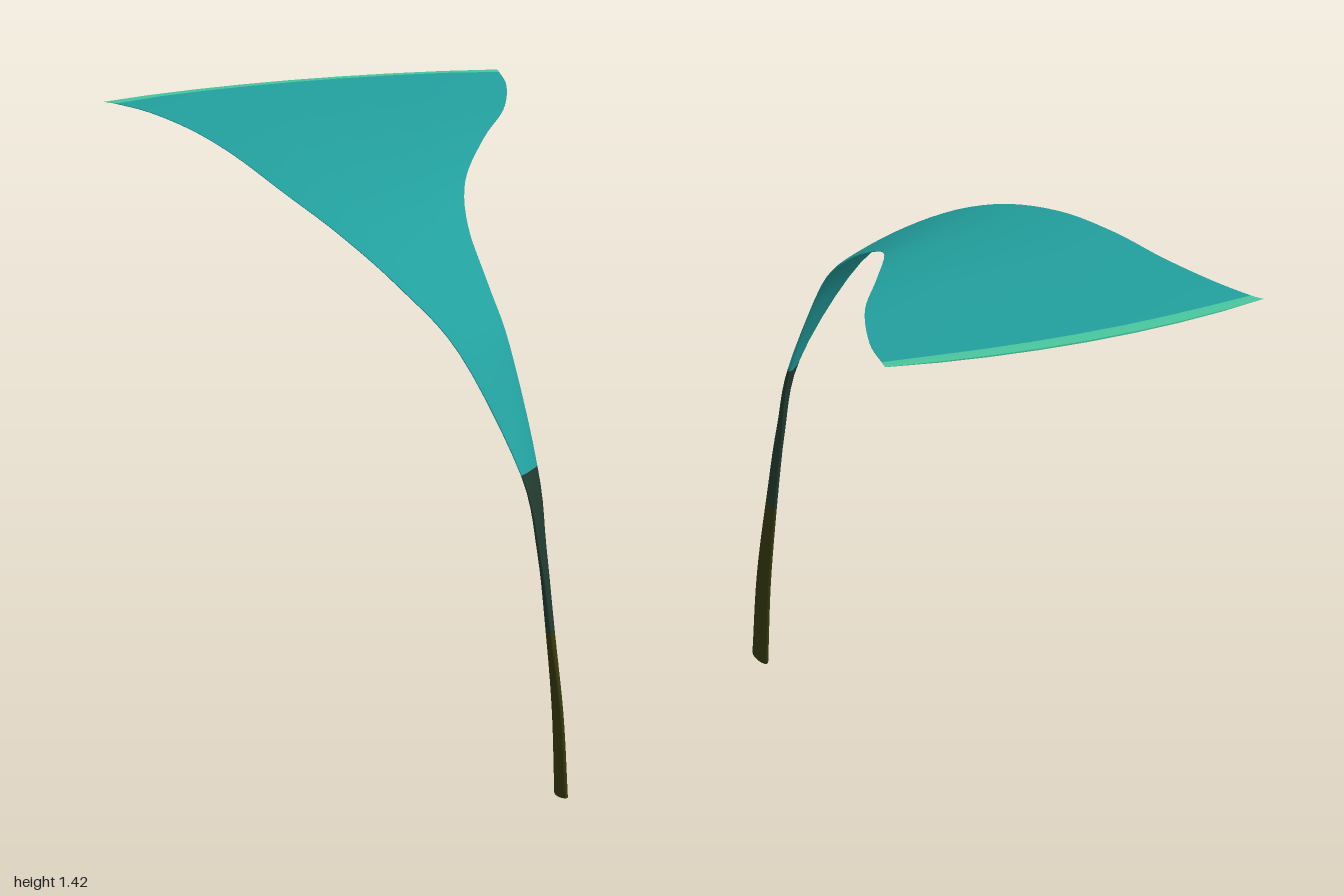
import * as THREE from 'three';
import { toCreasedNormals } from 'three/addons/utils/BufferGeometryUtils.js';

// Stations along the blade: outer edge x,y,z | inner edge x,y,z | thickness | forward bow
const STATIONS = [
  [-0.205, 0, 1.0, -0.182, 0, 0.9, 0.024, 0],
  [-0.215, 0.2, 0.995, -0.183, 0.2, 0.89, 0.023, 0],
  [-0.235, 0.4, 0.98, -0.187, 0.4, 0.87, 0.022, 0],
  [-0.25, 0.59, 0.95, -0.185, 0.59, 0.835, 0.02, 0],
  [-0.275, 0.775, 0.9, -0.18, 0.775, 0.785, 0.018, 0],
  [-0.36, 1.05, 0.735, -0.175, 1.04, 0.62, 0.016, 0],
  [-0.435, 1.19, 0.55, -0.152, 1.16, 0.45, 0.015, 0],
  [-0.485, 1.285, 0.32, -0.097, 1.26, 0.22, 0.014, 0],
  [-0.505, 1.345, 0.05, 0, 1.33, 0, 0.013, 0],
  [-0.49, 1.383, -0.25, 0.175, 1.375, -0.27, 0.012, 0.01],
  [-0.473, 1.4, -0.52, 0.335, 1.395, -0.5, 0.012, 0.03],
  [-0.48, 1.409, -0.75, 0.457, 1.404, -0.74, 0.012, 0.045],
  [-0.505, 1.41, -0.895, 0.51, 1.41, -0.895, 0.011, 0.06],
  [-0.52, 1.41, -0.93, 0.52, 1.41, -0.93, 0.004, 0.07],
];
const LAST = STATIONS.length - 1;
const ACROSS = 8;

const edgeCurve = (o) => new THREE.CatmullRomCurve3(
  STATIONS.map((s) => new THREE.Vector3(s[o], s[o + 1], s[o + 2])), false, 'catmullrom', 0.5);
const outer = edgeCurve(0);
const inner = edgeCurve(3);

function lerpStation(s, column) {
  const i = Math.min(Math.floor(s), LAST - 1);
  return THREE.MathUtils.lerp(STATIONS[i][column], STATIONS[i + 1][column], s - i);
}

// Closed lens-shaped cross-section at station s: over the top, back underneath
function section(s) {
  const t = s / LAST;
  const a = outer.getPoint(t);
  const b = inner.getPoint(t);
  const chord = b.clone().sub(a);
  const along = outer.getTangent(t).add(inner.getTangent(t));
  const normal = chord.clone().cross(along).normalize();
  const half = lerpStation(s, 6) / 2;
  const bow = lerpStation(s, 7);
  const point = (u, side) => {
    const k = 1 - (2 * u - 1) ** 2;
    const p = a.clone().addScaledVector(chord, u);
    p.addScaledVector(normal, side * half * (0.12 + 0.88 * Math.sqrt(Math.max(k, 0))));
    p.z -= bow * k;
    return p;
  };
  const ring = [];
  for (let j = 0; j <= ACROSS; j++) ring.push(point(j / ACROSS, 1));
  for (let j = ACROSS; j >= 0; j--) ring.push(point(j / ACROSS, -1));
  return ring;
}

// Skin the blade between two stations, optionally closing the ends
function bladePart(name, from, to, material, capStart, capEnd) {
  const rows = Math.max(2, Math.round((to - from) * 5));
  const n = 2 * (ACROSS + 1);
  const positions = [];
  const index = [];
  for (let i = 0; i <= rows; i++) {
    for (const p of section(from + ((to - from) * i) / rows)) positions.push(p.x, p.y, p.z);
  }
  for (let i = 0; i < rows; i++) {
    for (let j = 0; j < n; j++) {
      const k = (j + 1) % n;
      const a = i * n + j, b = i * n + k, c = (i + 1) * n + k, d = (i + 1) * n + j;
      index.push(a, b, c, a, c, d);
    }
  }
  const e = rows * n;
  for (let j = 0; j < ACROSS; j++) {
    const k = n - 1 - j;
    if (capStart) index.push(j, k, k - 1, j, k - 1, j + 1);
    if (capEnd) index.push(e + j, e + k - 1, e + k, e + j, e + j + 1, e + k - 1);
  }
  const geometry = new THREE.BufferGeometry();
  geometry.setAttribute('position', new THREE.Float32BufferAttribute(positions, 3));
  geometry.setIndex(index);
  const mesh = new THREE.Mesh(toCreasedNormals(geometry, 0.7), material);
  mesh.name = name;
  return mesh;
}

function paint(name, color) {
  const material = new THREE.MeshStandardMaterial({ color });
  material.name = name;
  return material;
}

export function createModel() {
  const group = new THREE.Group();
  group.name = 'twistedBlade';
  group.add(
    bladePart('root', 0, 2, paint('dark olive', 0x35390f), true, false),
    bladePart('shank', 2, 4, paint('dark green', 0x223a2f), false, false),
    bladePart('blade', 4, 12, paint('teal', 0x22a09e), false, false),
    bladePart('tipEdge', 12, 13, paint('light green', 0x48c49c), false, true),
  );
  return group;
}
